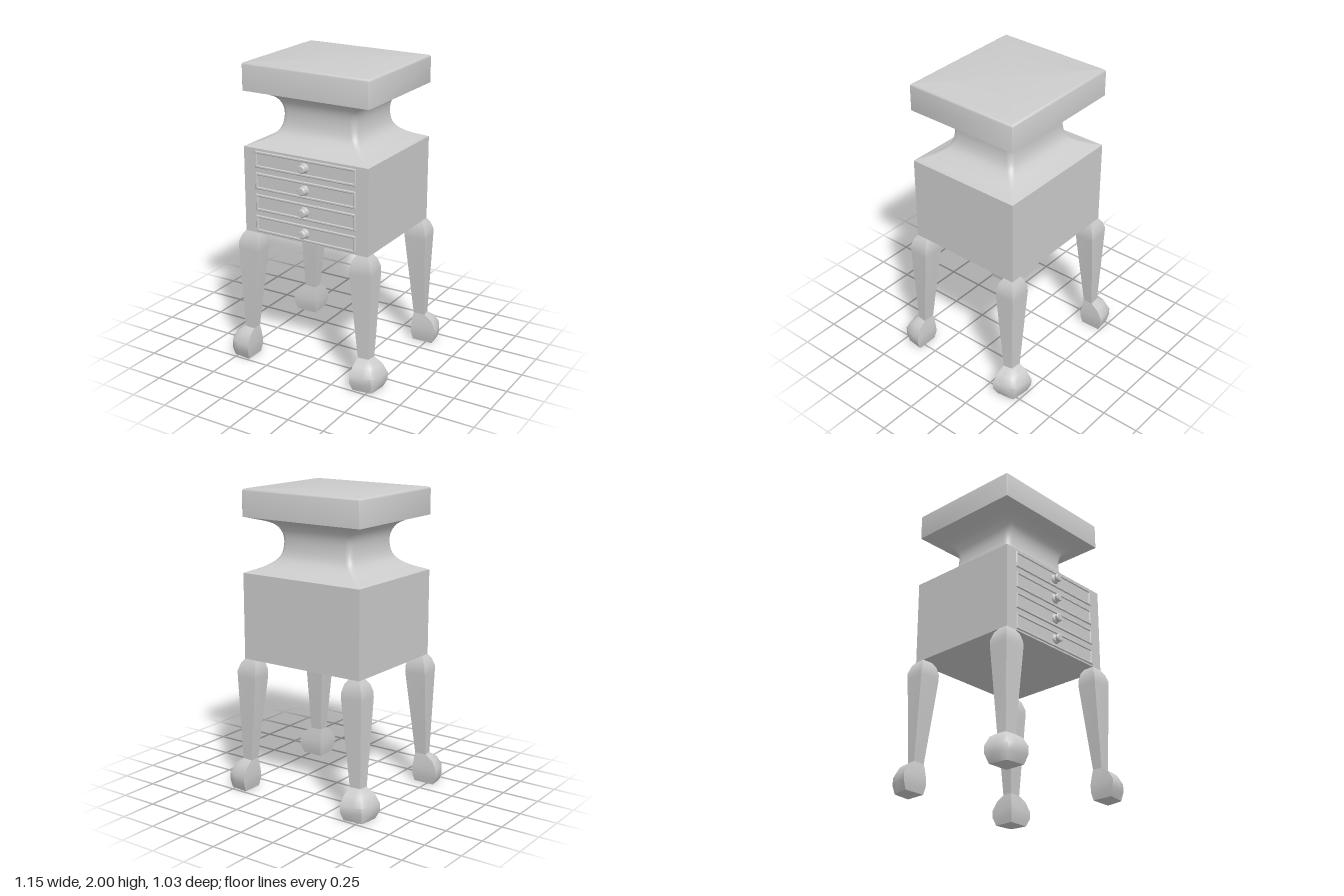
import * as THREE from 'three';
import { toCreasedNormals } from 'three/addons/utils/BufferGeometryUtils.js';

const material = new THREE.MeshStandardMaterial({ color: 0xcccccc });
const HX = 0.453, HZ = 0.4;

function part(name, geometry, parent) {
  const mesh = new THREE.Mesh(geometry, material);
  mesh.name = name;
  parent.add(mesh);
  return mesh;
}

// Skin a stack of rings (bottom to top) and close both ends
function loft(rings, crease) {
  const n = rings[0].length, index = [];
  const points = rings.flat();
  const centre = (ring) => ring.reduce((s, p) => s.map((v, i) => v + p[i] / n), [0, 0, 0]);
  const bottom = points.push(centre(rings[0])) - 1;
  const top = points.push(centre(rings[rings.length - 1])) - 1;
  const last = (rings.length - 1) * n;
  for (let i = 0; i < n; i++) {
    const j = (i + 1) % n;
    for (let r = 0; r < last; r += n) index.push(r + i, r + j, r + n + j, r + i, r + n + j, r + n + i);
    index.push(bottom, j, i, top, last + i, last + j);
  }
  const g = new THREE.BufferGeometry();
  g.setAttribute('position', new THREE.Float32BufferAttribute(points.flat(), 3));
  g.setIndex(index);
  return toCreasedNormals(g, crease);
}

// Horizontal rectangle with rounded corners
function roundedRing(hx, hz, radius, y) {
  const ring = [], steps = 4;
  [[1, 1, 1], [1, -1, 0], [-1, -1, -1], [-1, 1, -2]].forEach(([sx, sz, start]) => {
    for (let i = 0; i <= steps; i++) {
      const a = (start - i / steps) * Math.PI / 2;
      ring.push([sx * (hx - radius) + radius * Math.cos(a), y, sz * (hz - radius) + radius * Math.sin(a)]);
    }
  });
  return ring;
}

// Place a corner outline (fractions of the section) in one of the four quadrants
function cornerRing([y, x0, x1, z0, z1], outline, sx, sz) {
  const ring = outline.map(([u, v]) => [sx * (x0 + u * (x1 - x0)), y, sz * (z0 + v * (z1 - z0))]);
  return sx * sz < 0 ? ring.reverse() : ring;
}

function addLeg(parent, sx, sz) {
  const leg = new THREE.Group();
  leg.name = (sz > 0 ? 'front' : 'back') + (sx > 0 ? 'Left' : 'Right') + 'Leg';
  parent.add(leg);
  // Tapered square shaft: y, inner x, outer x, inner z, outer z, outer corner fraction
  const shaft = [
    [0.2, 0.4, 0.483, 0.352, 0.42, 0.9],
    [0.77, 0.343, 0.495, 0.3, 0.435, 0.98],
    [0.81, 0.343, 0.493, 0.3, 0.433, 1],
    [0.86, 0.355, 0.475, 0.312, 0.418, 1],
    [0.892, 0.375, 0.452, 0.332, 0.399, 1],
  ];
  part('legShaft', loft(shaft.map((s) =>
    cornerRing(s, [[0, 1], [s[5], s[5]], [1, 0], [0, 0]], sx, sz)), 0.45), leg);
  // Bulging foot with flat inner sides; the last value rounds the outer corner
  const square = [[0, 1], [0.5, 0.95], [0.88, 0.91], [0.91, 0.88], [0.95, 0.5], [1, 0], [0, 0]];
  const round = [[0, 1], [0.49, 0.93], [0.77, 0.84], [0.88, 0.62], [0.95, 0.35], [1, 0], [0, 0]];
  const foot = [
    [0, 0.4, 0.545, 0.348, 0.485, 0.2],
    [0.055, 0.39, 0.574, 0.337, 0.509, 0.9],
    [0.105, 0.39, 0.574, 0.337, 0.513, 1],
    [0.165, 0.395, 0.54, 0.346, 0.473, 0.7],
    [0.2, 0.4, 0.483, 0.352, 0.42, 0],
  ];
  part('foot', loft(foot.map((f) => cornerRing(f,
    square.map((p, i) => p.map((v, k) => v + (round[i][k] - v) * f[5])), sx, sz)), 0.8), leg);
}

function rectangle(target, hx, hy) {
  target.moveTo(-hx, -hy);
  target.lineTo(hx, -hy);
  target.lineTo(hx, hy);
  target.lineTo(-hx, hy);
  target.closePath();
  return target;
}

function addDrawer(parent, y) {
  const drawer = new THREE.Group();
  drawer.name = 'drawer';
  drawer.position.set(0, y, HZ);
  parent.add(drawer);
  // Raised bevelled moulding around a flat panel
  const shape = rectangle(new THREE.Shape(), 0.364, 0.051);
  shape.holes.push(rectangle(new THREE.Path(), 0.356, 0.043));
  part('drawerMoulding', new THREE.ExtrudeGeometry(shape, {
    depth: 0.002, bevelEnabled: true, bevelThickness: 0.005, bevelSize: 0.005, bevelSegments: 1,
  }), drawer);
  part('drawerPanel', new THREE.BoxGeometry(0.71, 0.086, 0.004), drawer);
  // Turned knob
  const profile = [[0.034, 0], [0.03, 0.01], [0.02, 0.017], [0.02, 0.023], [0.027, 0.026],
    [0.027, 0.037], [0.021, 0.043], [0, 0.044]].map(([r, h]) => new THREE.Vector2(r, h));
  const knob = part('knob', toCreasedNormals(new THREE.LatheGeometry(profile, 16), 0.5), drawer);
  knob.rotation.x = Math.PI / 2;
}

export function createModel() {
  const model = new THREE.Group();
  model.name = 'drawerStand';

  // Drawer case
  part('case', new THREE.BoxGeometry(HX * 2, 0.57, HZ * 2), model).position.y = 1.175;
  for (let i = 0; i < 4; i++) addDrawer(model, 0.957 + i * 0.144);

  // Concave waist: y and inward offset, eased through a smooth curve
  const curve = new THREE.CatmullRomCurve3([
    [0, 1.46], [0.105, 1.505], [0.165, 1.56], [0.186, 1.64],
    [0.178, 1.72], [0.14, 1.775], [0, 1.822],
  ].map(([inset, y]) => new THREE.Vector3(inset, y, 0)));
  const waist = curve.getPoints(24).map((p) =>
    roundedRing(HX - p.x, HZ - p.x * 0.88, 0.002 + p.x * 0.2, p.y));
  part('waist', loft(waist, 0.8), model);

  // Top slab with a softened upper edge
  const slab = [[1.82, 0], [1.985, 0], [1.993, 0.003], [1.998, 0.008], [2, 0.016]];
  part('topSlab', loft(slab.map(([y, inset]) =>
    roundedRing(HX - inset, HZ - inset, 0.004, y)), 0.7), model);

  // Four mirrored legs
  for (const sx of [1, -1]) for (const sz of [1, -1]) addLeg(model, sx, sz);
  return model;
}
